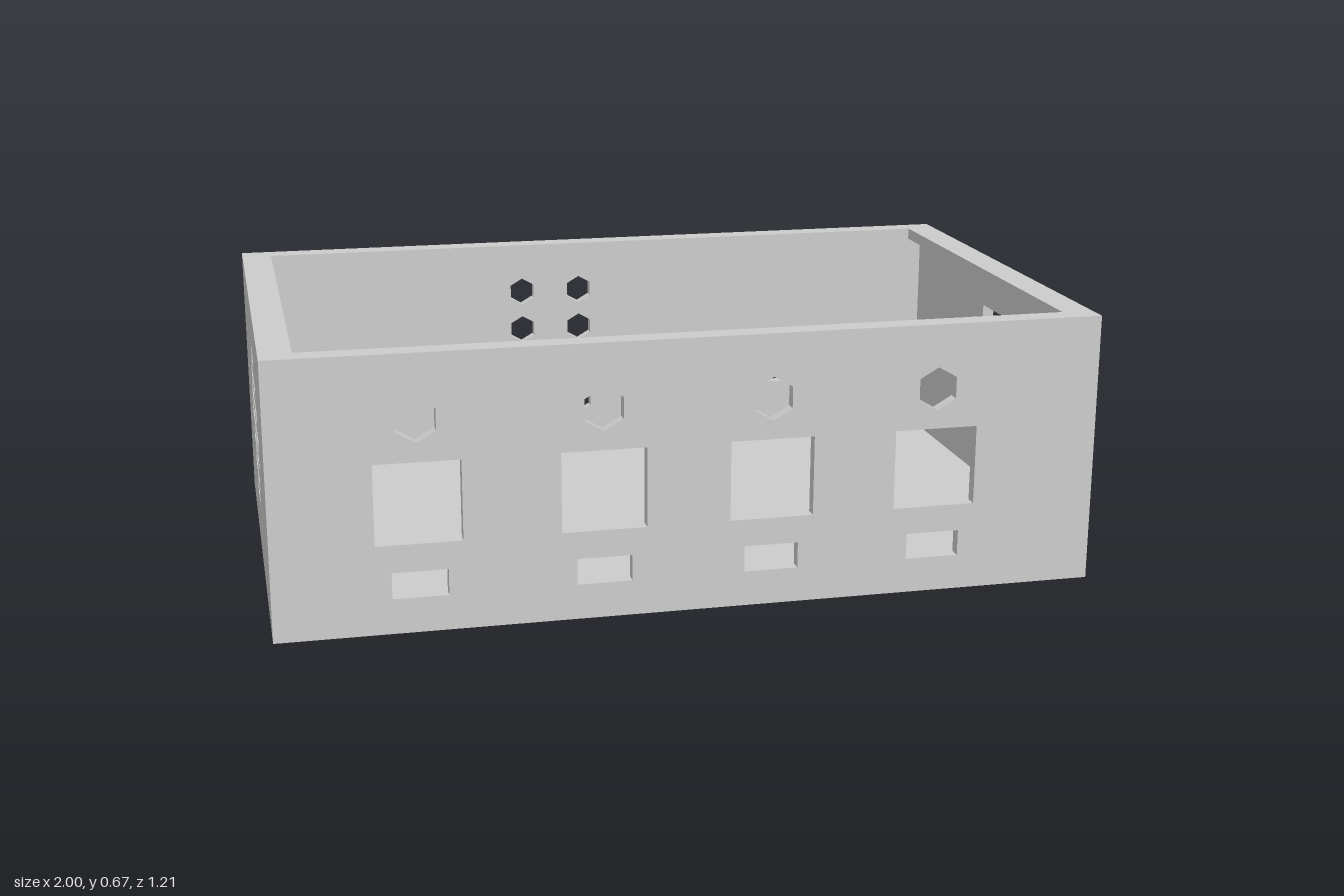
import * as THREE from 'three';

const W = 1, D = 0.605, H = 0.67;   // half width, half depth, height
const T = 0.03;                     // wall thickness
const FLOOR = 0.07, LIP = 0.03;
const material = new THREE.MeshStandardMaterial({ color: 0xcccccc, flatShading: true });

function polygon(points) {
  return points.map(([x, y]) => new THREE.Vector2(x, y));
}

function rect(x0, y0, x1, y1) {
  return polygon([[x0, y0], [x1, y0], [x1, y1], [x0, y1]]);
}

// Hexagon with a corner pointing up
function hexagon(x, y, r) {
  const points = [];
  for (let i = 0; i < 6; i++) {
    const a = Math.PI / 2 + i * Math.PI / 3;
    points.push([x + r * Math.cos(a), y + r * Math.sin(a)]);
  }
  return polygon(points);
}

function plate(name, outline, holes, depth) {
  const shape = new THREE.Shape(outline);
  for (const hole of holes) shape.holes.push(new THREE.Path(hole));
  const geometry = new THREE.ExtrudeGeometry(shape, { depth, bevelEnabled: false });
  const mesh = new THREE.Mesh(geometry, material);
  mesh.name = name;
  return mesh;
}

export function createModel() {
  const group = new THREE.Group();
  group.name = 'enclosure';

  // Front wall: four columns of hexagon, square window and small slot
  const frontHoles = [];
  for (const x of [-0.658, -0.223, 0.183, 0.59]) {
    frontHoles.push(
      hexagon(x, 0.512, 0.053),
      rect(x - 0.102, 0.217, x + 0.102, 0.413),
      rect(x - 0.066, 0.086, x + 0.066, 0.15)
    );
  }
  const front = plate('frontWall', rect(-W, 0, W, H), frontHoles, T);
  front.position.z = D - T;

  // Back wall: two windows and two columns of hexagons
  const backHoles = [rect(-0.775, 0.24, -0.51, 0.355), rect(0.34, 0.222, 0.825, 0.373)];
  for (const x of [-0.223, -0.06]) {
    for (let i = 0; i < 4; i++) backHoles.push(hexagon(x, 0.53 - i * 0.11, 0.038));
  }
  const back = plate('backWall', rect(-W, 0, W, H), backHoles, T);
  back.position.z = -D;

  // Side walls: rows of vent slots in a rounded pattern, split down the middle
  const vents = [];
  const halfWidths = [0.205, 0.167, 0.131, 0.065];
  for (let row = -3; row <= 3; row++) {
    const y = 0.351 + row * 0.059, w = halfWidths[Math.abs(row)], h = 0.019;
    if (Math.abs(row) === 3) {
      vents.push(rect(-w, y - h, w, y + h));
    } else {
      vents.push(rect(-w, y - h, -0.005, y + h), rect(0.005, y - h, w, y + h));
    }
  }
  for (const [name, x] of [['leftWall', W - T], ['rightWall', -W]]) {
    const side = plate(name, rect(-D + T, 0, D - T, H), vents, T);
    side.rotation.y = Math.PI / 2;
    side.position.x = x;
    group.add(side);
  }

  // Floor
  const floor = new THREE.Mesh(new THREE.BoxGeometry(2 * (W - T), FLOOR, 2 * (D - T)), material);
  floor.name = 'floor';
  floor.position.y = FLOOR / 2;

  // Lip running round the inside of the open top
  const lip = plate('topLip', rect(-W + T, -D + T, W - T, D - T),
    [rect(-0.923, -0.548, 0.923, 0.548)], LIP);
  lip.rotation.x = -Math.PI / 2;
  lip.position.y = H - LIP;

  group.add(front, back, floor, lip);
  return group;
}
